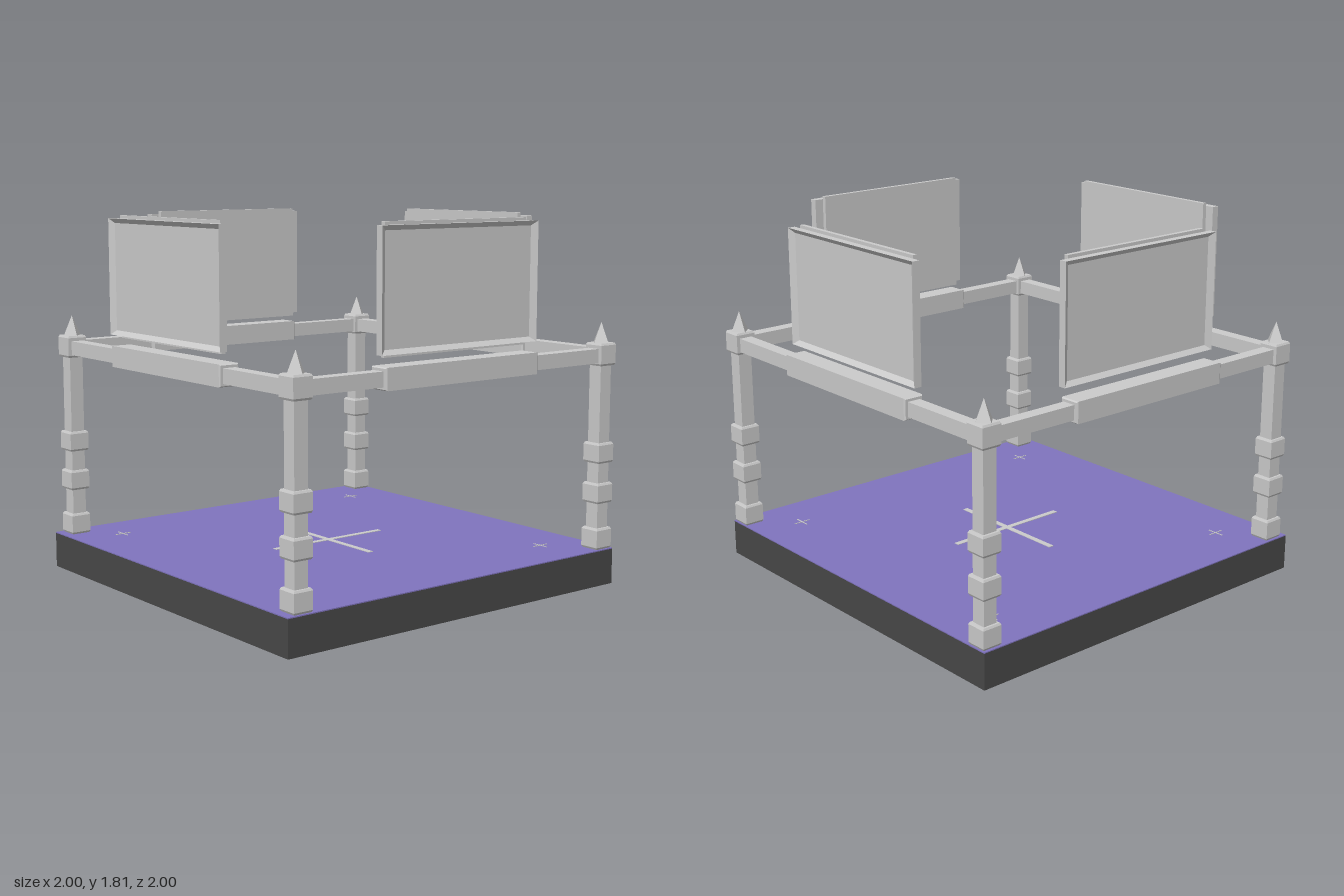
import * as THREE from 'three';

const grey = new THREE.MeshStandardMaterial({ color: 0xcccccc, flatShading: true });
const dark = new THREE.MeshStandardMaterial({ color: 0x484848 });
const purple = new THREE.MeshStandardMaterial({ color: 0x8074be });

function add(parent, name, geometry, material, x = 0, y = 0, z = 0) {
  const mesh = new THREE.Mesh(geometry, material);
  mesh.name = name;
  mesh.position.set(x, y, z);
  parent.add(mesh);
  return mesh;
}

const box = (w, h, d) => new THREE.BoxGeometry(w, h, d);

// Square-section turned shape from [half width, height] pairs
function squareLathe(points) {
  const profile = points.map(([r, y]) => new THREE.Vector2(r * Math.SQRT2, y));
  return new THREE.LatheGeometry(profile, 4, Math.PI / 4).toNonIndexed();
}

// Chamfered square collar between two heights
const collar = (y0, y1) => [[0.036, y0], [0.046, y0], [0.051, y0 + 0.01], [0.051, y1 - 0.01], [0.046, y1], [0.036, y1]];

function createPost() {
  const post = new THREE.Group();
  post.name = 'cornerPost';
  add(post, 'postShaft', squareLathe([
    ...collar(0.18, 0.285), ...collar(0.41, 0.51), ...collar(0.61, 0.71), ...collar(1.09, 1.2), [0, 1.2],
  ]), grey);
  // Four-sided spike with its ridges facing the sides
  add(post, 'postSpike', new THREE.ConeGeometry(0.05, 0.105, 4), grey, 0, 1.2475, 0);
  return post;
}

// Sign board facing +z: shallow tray in front, thinner backing behind
function createSign() {
  const sign = new THREE.Group();
  sign.name = 'signBoard';
  const w = 0.47, h = 0.28, iw = 0.44, ih = 0.258, depth = 0.02;
  add(sign, 'signBacking', box(0.85, 0.59, 0.022), grey, 0, 0, -0.011);
  add(sign, 'signPanel', box(2 * w, 2 * h, 0.038 - depth), grey, 0, 0, (0.038 - depth) / 2);
  // Rim: outer wall plus an inner slope leading down to the panel
  const rings = [[w, h, 0.038 - depth], [w, h, 0.038], [iw, ih, 0.038 - depth + 0.001]];
  const position = [], index = [];
  for (const [x, y, z] of rings) position.push(-x, -y, z, x, -y, z, x, y, z, -x, y, z);
  for (let r = 0; r < 2; r++) {
    for (let i = 0; i < 4; i++) {
      const a = r * 4 + i, b = r * 4 + (i + 1) % 4;
      index.push(a, b, b + 4, a, b + 4, a + 4);
    }
  }
  let rim = new THREE.BufferGeometry();
  rim.setAttribute('position', new THREE.Float32BufferAttribute(position, 3));
  rim.setIndex(index);
  rim = rim.toNonIndexed();
  rim.computeVertexNormals();
  add(sign, 'signRim', rim, grey);
  return sign;
}

// Thin cross lying on the floor
function addCross(parent, name, x, z, half, width) {
  add(parent, name, box(half * 2, 0.004, width), grey, x, 0.181, z);
  add(parent, name, box(width, 0.004, half * 2), grey, x, 0.181, z);
}

export function createModel() {
  const model = new THREE.Group();
  model.name = 'arena';

  // Base and floor
  add(model, 'base', box(2, 0.175, 2), dark, 0, 0.0875, 0);
  add(model, 'floor', box(2, 0.005, 2), purple, 0, 0.1775, 0);
  addCross(model, 'floorCross', 0, 0, 0.335, 0.028);
  for (const x of [-0.75, 0.75]) {
    for (const z of [-0.75, 0.75]) addCross(model, 'cornerMark', x, z, 0.045, 0.004);
  }

  // Corner posts
  const xs = [-0.912, 0.945], zs = [-0.94, 0.942];
  for (const x of xs) {
    for (const z of zs) {
      const post = createPost();
      post.position.set(x, 0, z);
      model.add(post);
    }
  }

  // Each side: rail, thicker sleeve and a sign above, facing outwards
  const sides = [
    { name: 'front', x: 0.017, z: zs[1], turn: 0, length: 1.8, sleeve: [0, zs[1]], sign: [0.005, 0.928] },
    { name: 'back', x: 0.017, z: zs[0], turn: Math.PI, length: 1.8, sleeve: [0, zs[0]], sign: [0.005, -0.887] },
    { name: 'left', x: xs[1], z: 0, turn: Math.PI / 2, length: 1.82, sleeve: [xs[1], -0.005], sign: [0.927, -0.03] },
    { name: 'right', x: xs[0], z: 0, turn: -Math.PI / 2, length: 1.82, sleeve: [xs[0], -0.005], sign: [-0.9, -0.045] },
  ];
  for (const s of sides) {
    const rail = add(model, s.name + 'Rail', box(s.length, 0.07, 0.066), grey, s.x, 1.139, s.z);
    rail.rotation.y = s.turn;

    const sleeve = add(model, s.name + 'Sleeve', squareLathe([
      [0, -0.4625], [0.046, -0.4625], [0.051, -0.455], [0.051, 0.455], [0.046, 0.4625], [0, 0.4625],
    ]), grey, s.sleeve[0], 1.14, s.sleeve[1]);
    sleeve.rotation.set(0, s.turn, Math.PI / 2);

    const sign = createSign();
    sign.name = s.name + 'Sign';
    sign.position.set(s.sign[0], 1.52, s.sign[1]);
    sign.rotation.y = s.turn;
    model.add(sign);
  }
  return model;
}
